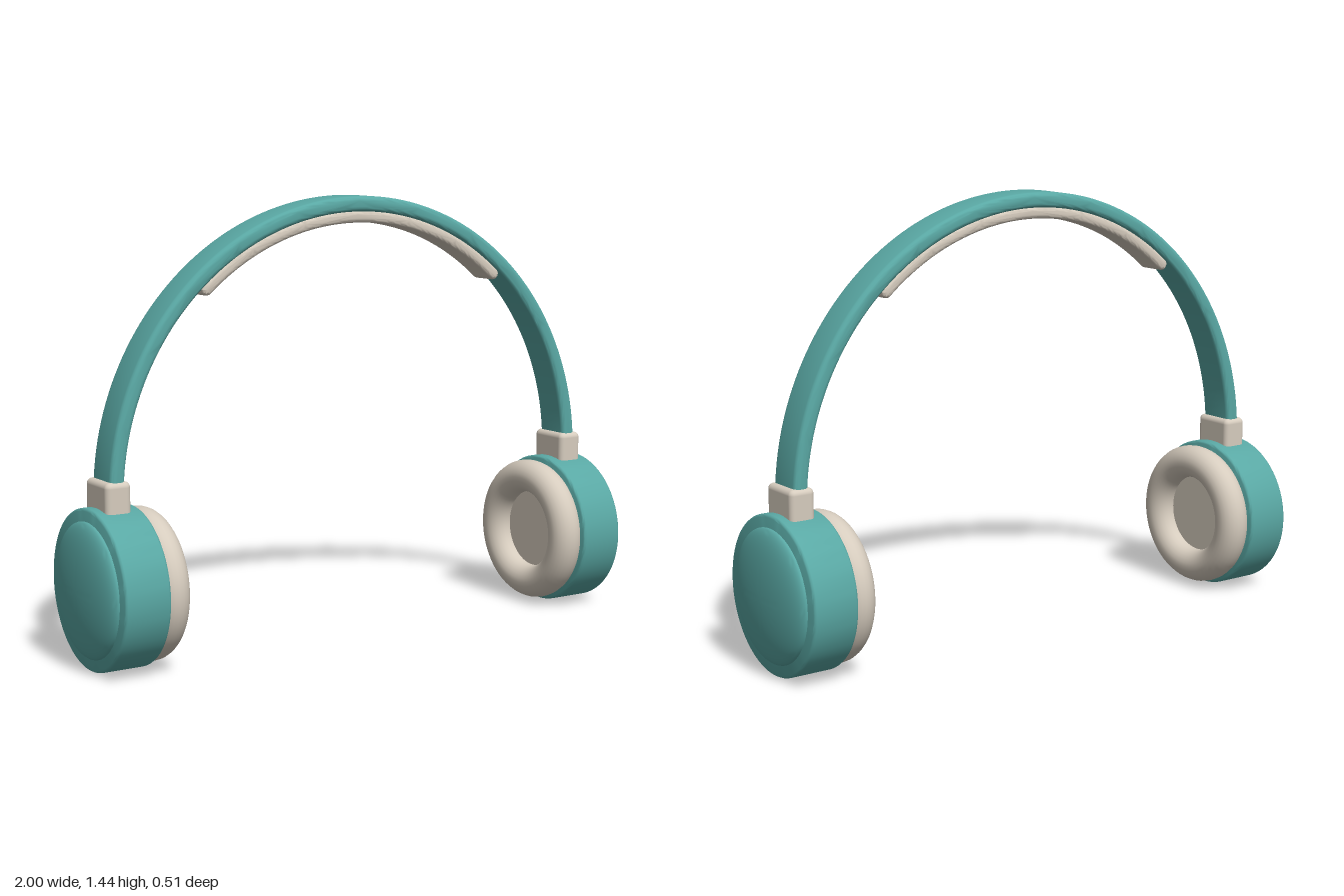
import * as THREE from 'three';
import { toCreasedNormals } from 'three/addons/utils/BufferGeometryUtils.js';
import { RoundedBoxGeometry } from 'three/addons/geometries/RoundedBoxGeometry.js';

const ARC_Y = 0.535; // centre of the headband arc
const CUP_Y = 0.255; // centre of the ear cups

// Curved strip of given mid radius, thickness and width, with soft edges and round ends
function arcStrip(radius, thickness, width, from, to, bevel) {
  const h = thickness / 2 - bevel;
  const s = new THREE.Shape();
  s.absarc(0, 0, radius + h, from, to, false);
  s.absarc(radius * Math.cos(to), radius * Math.sin(to), h, to, to + Math.PI, false);
  s.absarc(0, 0, radius - h, to, from, true);
  s.absarc(radius * Math.cos(from), radius * Math.sin(from), h, from + Math.PI, from + Math.PI * 2, false);
  const depth = width - 2 * bevel;
  const g = new THREE.ExtrudeGeometry(s, {
    depth, curveSegments: 48, bevelEnabled: true,
    bevelThickness: bevel, bevelSize: bevel, bevelSegments: 4,
  });
  g.translate(0, 0, -depth / 2);
  return toCreasedNormals(g, 0.7);
}

// Solid turned about the x axis from [radius, x] pairs, listed from inner to outer x
function turned(profile, crease = 0.6) {
  const g = new THREE.LatheGeometry(profile.map(([r, x]) => new THREE.Vector2(r, x)), 64);
  g.rotateZ(-Math.PI / 2);
  return toCreasedNormals(g, crease);
}

export function createModel() {
  const teal = new THREE.MeshStandardMaterial({ color: 0x5aa9a5 });
  teal.name = 'teal shell';
  const beige = new THREE.MeshStandardMaterial({ color: 0xd6ccbe });
  beige.name = 'beige padding';

  const model = new THREE.Group();
  model.name = 'headphones';
  const add = (parent, name, geometry, material, x = 0, y = 0) => {
    const m = new THREE.Mesh(geometry, material);
    m.name = name;
    m.position.set(x, y, 0);
    parent.add(m);
    return m;
  };

  // Headband and the cushion below its crown
  add(model, 'headband', arcStrip(0.88, 0.05, 0.13, 0, Math.PI, 0.016), teal, 0, ARC_Y);
  const spread = 0.72;
  add(model, 'headbandPad',
    arcStrip(0.839, 0.04, 0.11, Math.PI / 2 - spread, Math.PI / 2 + spread, 0.014), beige, 0, ARC_Y);

  // Ear cup parts, turned about x
  const shell = turned([
    [0, 0.8], [0.247, 0.8], [0.2525, 0.8025], [0.255, 0.808],
    [0.255, 0.947], [0.2525, 0.9525], [0.247, 0.955], [0, 0.955],
  ], 0.9);
  const domeProfile = [[0.215, 0.94]];
  for (let i = 0; i <= 14; i++) {
    const a = (i / 14) * Math.PI / 2;
    domeProfile.push([i === 14 ? 0 : 0.215 * Math.cos(a), 0.953 + 0.047 * Math.sin(a)]);
  }
  const dome = turned(domeProfile, 0.9);
  const cushion = new THREE.TorusGeometry(0.187, 0.056, 24, 64);
  cushion.rotateY(Math.PI / 2);
  const speaker = turned([[0, 0.775], [0.17, 0.775], [0.17, 0.805], [0, 0.805]]);
  const hinge = new RoundedBoxGeometry(0.086, 0.13, 0.15, 4, 0.018);

  // The right side is the left side turned half way round y
  for (const side of ['left', 'right']) {
    const cup = new THREE.Group();
    cup.name = side + 'EarCup';
    add(cup, 'cupShell', shell, teal, 0, CUP_Y);
    add(cup, 'outerDome', dome, teal, 0, CUP_Y);
    add(cup, 'earCushion', cushion, beige, 0.766, CUP_Y);
    add(cup, 'speakerPlate', speaker, beige, 0, CUP_Y);
    add(cup, 'hinge', hinge, beige, 0.88, 0.53);
    if (side === 'right') cup.rotation.y = Math.PI;
    model.add(cup);
  }
  return model;
}
